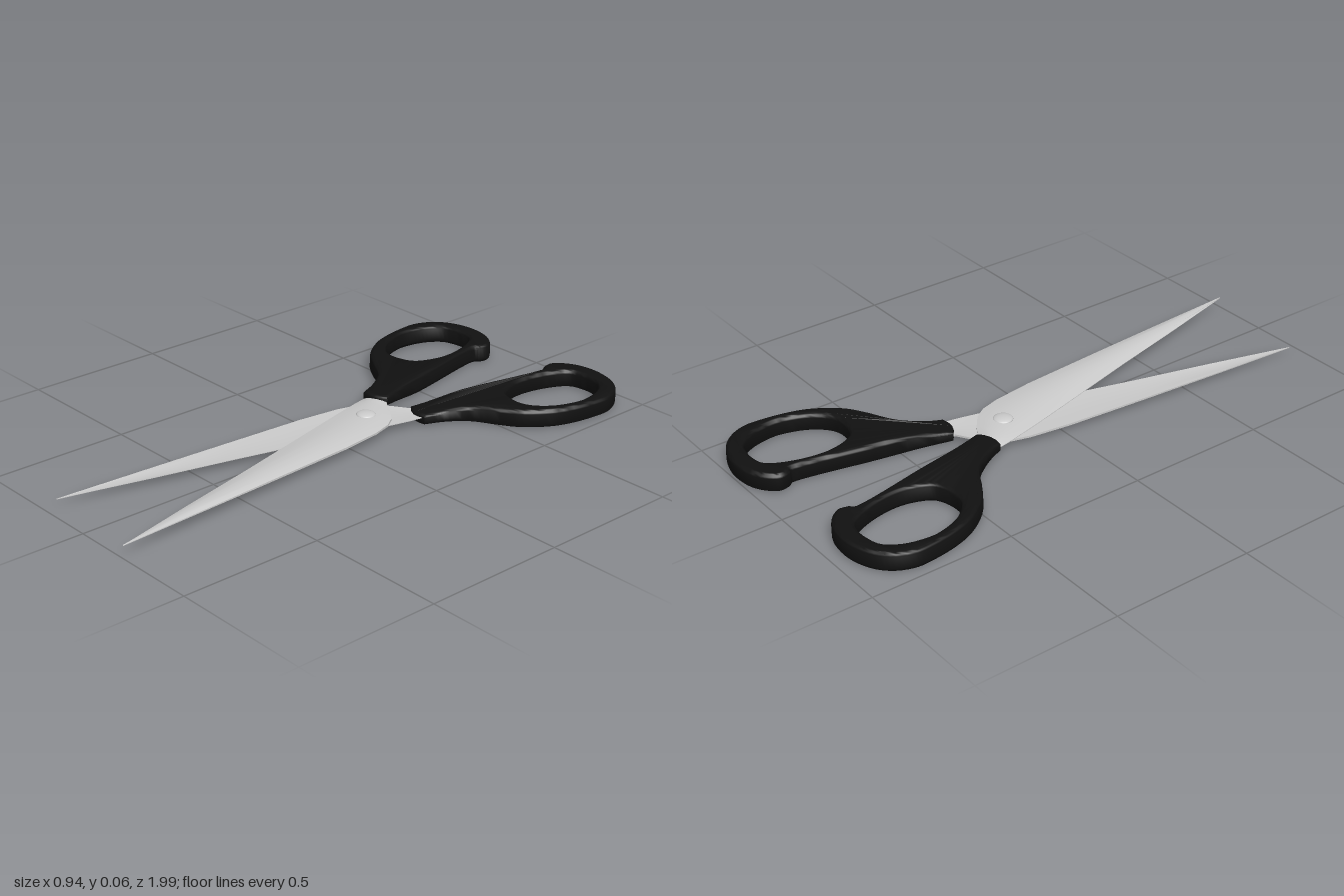
import * as THREE from 'three';
import { toCreasedNormals } from 'three/addons/utils/BufferGeometryUtils.js';

const HEIGHT = 0.065;
const steel = new THREE.MeshStandardMaterial({ color: 0xcccccc });
const plastic = new THREE.MeshStandardMaterial({ color: 0x111111 });
const points = list => list.map(([x, z]) => new THREE.Vector2(x, z));

function part(name, geometry, material) {
  const mesh = new THREE.Mesh(geometry, material);
  mesh.name = name;
  return mesh;
}

// Finger loop with a rounded rim, thinning towards the blade
function handleGeometry() {
  const outline = points([
    [-.13, -.27], [-.16, -.34], [-.21, -.41], [-.29, -.46], [-.36, -.51], [-.42, -.59], [-.45, -.67],
    [-.465, -.76], [-.465, -.83], [-.435, -.895], [-.38, -.94], [-.3, -.963], [-.22, -.957],
    [-.165, -.93], [-.132, -.89], [-.137, -.85], [-.15, -.83], [-.135, -.735], [-.1, -.575],
    [-.07, -.42], [-.037, -.295],
  ]);
  const opening = points([
    [-.295, -.9], [-.235, -.89], [-.2, -.84], [-.175, -.76], [-.17, -.68], [-.19, -.61], [-.22, -.575],
    [-.285, -.56], [-.34, -.575], [-.39, -.63], [-.418, -.71], [-.418, -.77], [-.4, -.835], [-.36, -.885],
  ]);
  const shape = new THREE.Shape();
  shape.moveTo(outline[0].x, outline[0].y);
  shape.splineThru(outline.slice(1));
  // rounded neck end
  shape.quadraticCurveTo(-.075, -.255, outline[0].x, outline[0].y);
  const hole = new THREE.Path();
  hole.moveTo(opening[0].x, opening[0].y);
  hole.splineThru([...opening.slice(1), opening[0]]);
  shape.holes.push(hole);

  const bevel = 0.014;
  const geometry = new THREE.ExtrudeGeometry(shape, {
    depth: HEIGHT - 2 * bevel, curveSegments: 4,
    bevelThickness: bevel, bevelSize: bevel, bevelOffset: -bevel, bevelSegments: 4,
  });
  geometry.rotateX(Math.PI / 2).translate(0, HEIGHT - bevel, 0);

  const pos = geometry.attributes.position;
  for (let i = 0; i < pos.count; i++) {
    const k = THREE.MathUtils.smoothstep(pos.getZ(i), -.5, -.27);
    const low = 0.024 * k, high = HEIGHT - 0.005 * k;
    pos.setY(i, low + pos.getY(i) / HEIGHT * (high - low));
  }
  return toCreasedNormals(geometry, 0.8);
}

// Blade lofted through sections: cutting edge x, z, spine x, z, thickness
function bladeGeometry() {
  const stations = [
    [-.11, -.33, -.06, -.35, .014], [-.12, -.265, -.036, -.29, .015], [-.112, -.22, .02, -.255, .016],
    [-.1, -.17, .07, -.215, .016], [-.088, -.12, .1, -.17, .016], [-.07, -.05, .12, -.1, .016],
    [-.03, .1, .14, .05, .016], [.05, .4, .163, .37, .014], [.12, .68, .184, .67, .01],
    [.201, .985, .205, .99, .003],
  ];
  const top = [.15, .65, .95, 1, .85, .45], hollow = [0, .1, .15, .15, .1, 0];
  const n = top.length, ring = 2 * n, vertices = [], index = [];
  for (const [ex, ez, sx, sz, h] of stations) {
    const base = 0.033 + 0.007 * Math.max(0, ez);
    const add = (j, y) => {
      const t = j / (n - 1);
      vertices.push(ex + (sx - ex) * t, y, ez + (sz - ez) * t);
    };
    for (let j = 0; j < n; j++) add(j, base + h * top[j]);
    for (let j = n - 1; j >= 0; j--) add(j, base + h * hollow[j]);
  }
  for (let s = 0; s < stations.length - 1; s++) {
    for (let j = 0; j < ring; j++) {
      const a = s * ring + j, b = s * ring + (j + 1) % ring;
      index.push(a, a + ring, b, b, a + ring, b + ring);
    }
  }
  // End caps
  const last = (stations.length - 1) * ring;
  for (let j = 0; j < n - 1; j++) {
    const k = ring - 1 - j;
    index.push(j, j + 1, k - 1, j, k - 1, k);
    index.push(last + j, last + k - 1, last + j + 1, last + j, last + k, last + k - 1);
  }
  const geometry = new THREE.BufferGeometry();
  geometry.setAttribute('position', new THREE.Float32BufferAttribute(vertices, 3));
  geometry.setIndex(index);
  return toCreasedNormals(geometry, 0.6);
}

export function createModel() {
  const model = new THREE.Group();
  model.name = 'scissors';
  const handle = handleGeometry(), blade = bladeGeometry();

  // Two identical halves, the lower one turned over
  for (const upper of [true, false]) {
    const half = new THREE.Group();
    half.name = upper ? 'upperHalf' : 'lowerHalf';
    half.add(part('handle', handle, plastic), part('blade', blade, steel));
    half.position.z = upper ? 0.007 : -0.034;
    if (!upper) {
      half.rotation.z = Math.PI;
      half.position.y = HEIGHT;
    }
    model.add(half);
  }

  // Pivot screw with a low dome on each side
  const dome = new THREE.SphereGeometry(0.034, 20, 12).scale(1, 0.29, 1);
  for (const [name, y] of [['pivotTop', 0.047], ['pivotBottom', HEIGHT - 0.047]]) {
    const screw = part(name, dome, steel);
    screw.position.set(0, y, -0.155);
    model.add(screw);
  }
  return model;
}
